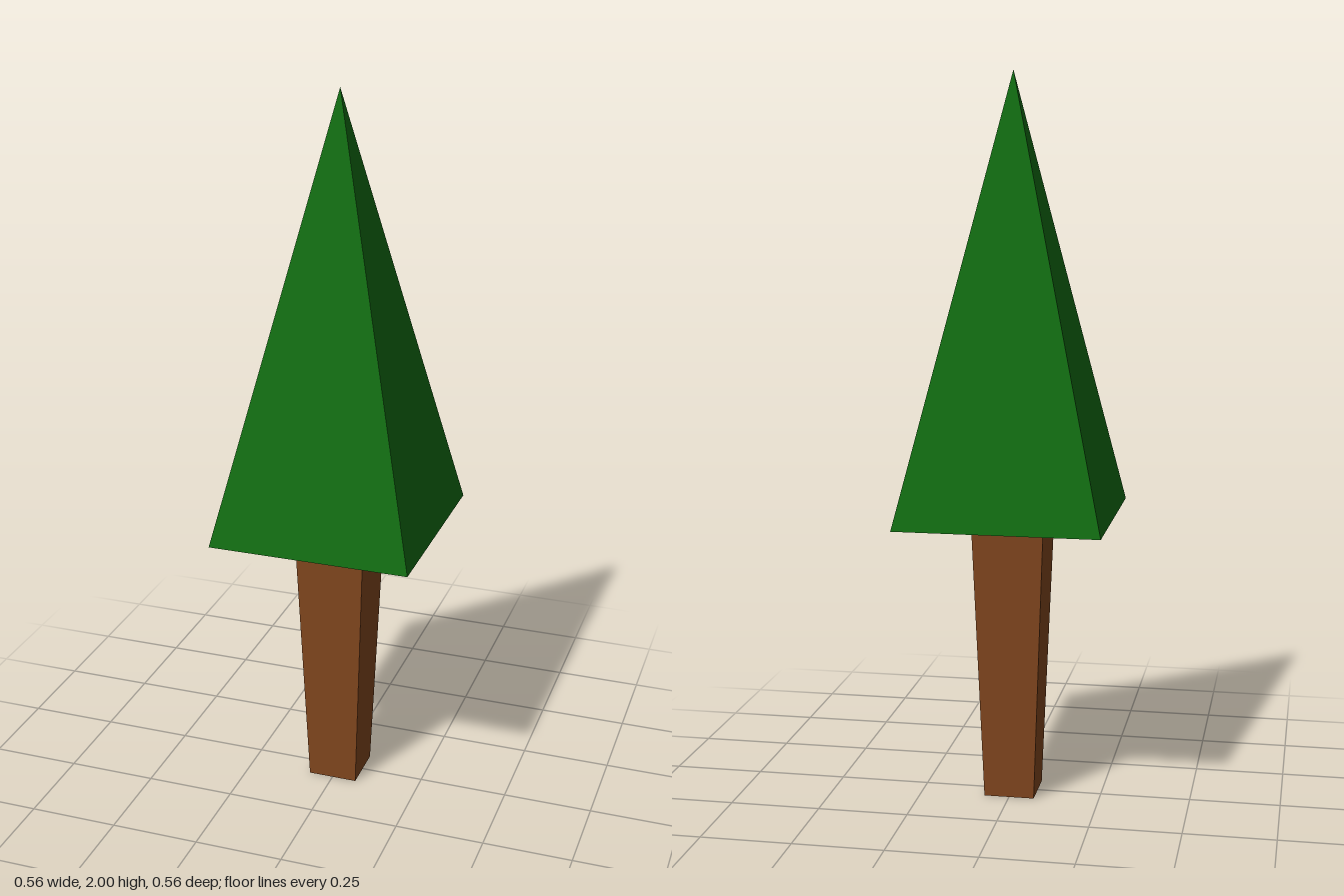
import * as THREE from 'three';

// Square frustum standing on baseY, given half-widths at the bottom and top
function squareFrustum(name, bottomHalf, topHalf, baseY, height, color) {
  const geometry = new THREE.CylinderGeometry(
    topHalf * Math.SQRT2, bottomHalf * Math.SQRT2, height, 4, 1);
  geometry.rotateY(Math.PI / 4);
  geometry.translate(0, baseY + height / 2, 0);
  const mesh = new THREE.Mesh(
    geometry, new THREE.MeshStandardMaterial({ color, flatShading: true }));
  mesh.name = name;
  return mesh;
}

export function createModel() {
  const tree = new THREE.Group();
  tree.name = 'tree';
  const crownBase = 0.795;

  // Trunk widens towards the crown
  tree.add(squareFrustum('trunk', 0.07, 0.1, 0, crownBase, 0x82471e));

  // Pyramid crown
  tree.add(squareFrustum('foliage', 0.28, 0, crownBase, 2 - crownBase, 0x126c12));

  return tree;
}
